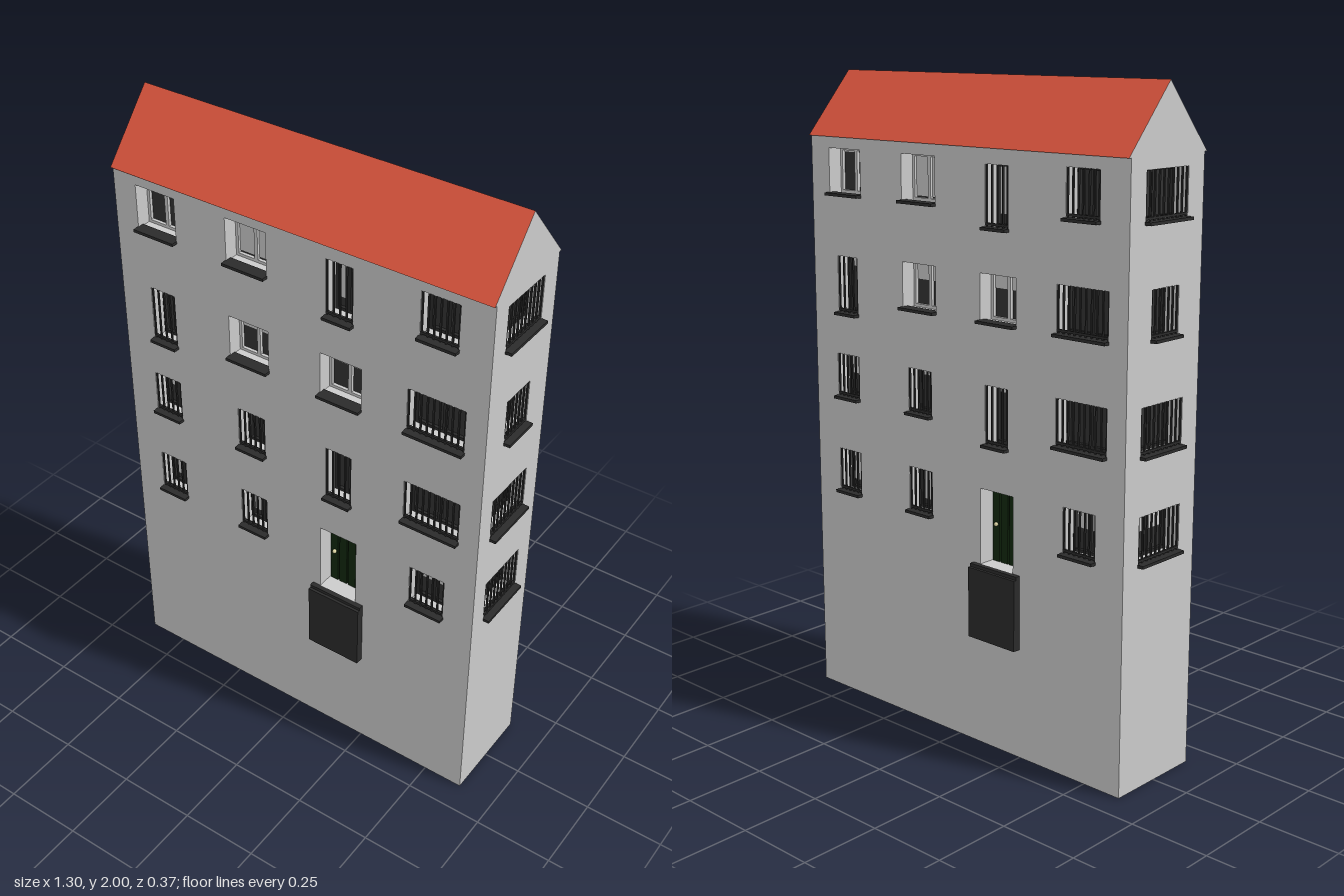
import * as THREE from 'three';

const W = 0.63, D = 0.16, EAVE = 1.805, RIDGE = 2, DEPTH = 0.06;
const mat = (color, extra = {}) => new THREE.MeshStandardMaterial({ color, ...extra });
const wallMat = mat(0xcccccc, { side: THREE.DoubleSide, flatShading: true });
const roofMat = mat(0xe0573f, { side: THREE.DoubleSide, flatShading: true });
const greyMat = mat(0xcccccc), ironMat = mat(0x2b2b2b), glassMat = mat(0x333333);
const doorMat = mat(0x12280f), knobMat = mat(0xd8d2a0);

// Openings as [x0, x1, y0, y1, kind, part covered by the blind]
const FRONT = [
  [-0.55, -0.41, 1.63, 1.77, 'frame', 0.1],
  [-0.23, -0.09, 1.63, 1.77, 'frame', 0.9],
  [0.11, 0.2, 1.58, 1.76, 'bars', 0.8],
  [0.41, 0.53, 1.63, 1.77, 'bars', 0],
  [-0.52, -0.43, 1.26, 1.44, 'bars', 0.2],
  [-0.23, -0.09, 1.31, 1.45, 'frame', 0.4],
  [0.09, 0.23, 1.31, 1.45, 'frame', 0.35],
  [0.38, 0.565, 1.31, 1.45, 'bars', 0],
  [-0.53, -0.43, 0.99, 1.13, 'bars', 0.5],
  [-0.21, -0.11, 0.99, 1.13, 'bars', 0.2],
  [0.11, 0.2, 0.945, 1.125, 'bars', 0.15],
  [0.38, 0.565, 0.99, 1.13, 'bars', 0],
  [-0.53, -0.43, 0.68, 0.82, 'bars', 0.8],
  [-0.21, -0.11, 0.68, 0.82, 'bars', 0.8],
  [0.09, 0.22, 0.575, 0.81, 'door', 0],
  [0.41, 0.53, 0.68, 0.82, 'bars', 0.5],
];
const SIDE = [
  [-0.095, 0.09, 1.63, 1.77, 'bars', 0],
  [-0.06, 0.06, 1.31, 1.45, 'bars', 0],
  [-0.095, 0.09, 0.99, 1.13, 'bars', 0],
  [-0.095, 0.09, 0.68, 0.82, 'bars', 0.5],
];

function add(parent, name, geometry, material, x = 0, y = 0, z = 0) {
  const m = new THREE.Mesh(geometry, material);
  m.name = name;
  m.position.set(x, y, z);
  parent.add(m);
  return m;
}
const box = (parent, name, w, h, d, material, x, y, z) =>
  add(parent, name, new THREE.BoxGeometry(w, h, d), material, x, y, z);

// Square tube without ends, lining an opening
const revealGeo = new THREE.CylinderGeometry(Math.SQRT1_2, Math.SQRT1_2, 1, 4, 1, true)
  .rotateY(Math.PI / 4).rotateX(Math.PI / 2);

function windowUnit([x0, x1, y0, y1, kind, blind]) {
  const g = new THREE.Group();
  g.name = kind === 'door' ? 'doorway' : 'window';
  const w = x1 - x0, h = y1 - y0;
  g.position.set((x0 + x1) / 2, (y0 + y1) / 2, 0);
  add(g, 'reveal', revealGeo, wallMat, 0, 0, -DEPTH / 2).scale.set(w, h, DEPTH);

  if (kind === 'door') {
    box(g, 'doorBacking', w, h, 0.006, doorMat, 0, 0, -DEPTH);
    for (let i = 0; i < 4; i++) {
      box(g, 'doorPlank', w / 4 - 0.006, h, 0.006, doorMat, (i - 1.5) * w / 4, 0, -DEPTH + 0.005);
    }
    add(g, 'doorKnob', new THREE.SphereGeometry(0.007, 12, 8), knobMat, -0.045, 0, -DEPTH + 0.014);
    // Stoop below the door
    box(g, 'stoop', 0.185, 0.22, 0.025, ironMat, 0, -h / 2 - 0.12, 0.0125);
    box(g, 'stoopLedge', 0.185, 0.012, 0.016, ironMat, 0, -h / 2 - 0.006, 0.008);
    return g;
  }

  box(g, 'glass', w, h, 0.004, glassMat, 0, 0, -DEPTH);
  if (blind) box(g, 'blind', w, h * blind, 0.004, greyMat, 0, h * (1 - blind) / 2, -DEPTH + 0.003);

  // Casement frame with a centre post
  const frameMat = kind === 'frame' ? greyMat : ironMat, t = 0.009, zf = -DEPTH + 0.008;
  for (const s of [-1, 1]) {
    box(g, 'frameSide', t, h, 0.01, frameMat, s * (w - t) / 2, 0, zf);
    box(g, 'frameRail', w, t, 0.01, frameMat, 0, s * (h - t) / 2, zf);
  }
  box(g, 'frameMullion', t * 1.3, h, 0.01, frameMat, 0, 0, zf);

  // Sill and upright bars
  box(g, 'sill', w + 0.004, 0.009, 0.04, ironMat, 0, -h / 2, 0);
  if (kind === 'bars') {
    const n = Math.round(w / 0.021);
    for (let i = 0; i <= n; i++) {
      box(g, 'bar', 0.005, h, 0.005, ironMat, -w / 2 + 0.003 + i * (w - 0.006) / n, 0, -0.004);
    }
    box(g, 'lowerRail', w, 0.007, 0.007, ironMat, 0, -h / 2 + 0.012, -0.004);
  }
  return g;
}

function wall(name, outline, openings) {
  const g = new THREE.Group();
  g.name = name;
  const shape = new THREE.Shape(outline.map(p => new THREE.Vector2(...p)));
  for (const [x0, x1, y0, y1] of openings) {
    shape.holes.push(new THREE.Path([[x0, y0], [x0, y1], [x1, y1], [x1, y0]].map(p => new THREE.Vector2(...p))));
  }
  add(g, name + 'Surface', new THREE.ShapeGeometry(shape), wallMat);
  openings.forEach(o => g.add(windowUnit(o)));
  return g;
}

export function createModel() {
  const house = new THREE.Group();
  house.name = 'townHouse';
  const over = 0.17;
  const top = EAVE + (over - D) * (RIDGE - EAVE) / over;
  const long = [[-W, 0], [W, 0], [W, top], [-W, top]];
  const gable = [[-D, 0], [D, 0], [D, EAVE], [over, EAVE], [0, RIDGE], [-over, EAVE], [-D, EAVE]];

  // Each half is the other turned half way round
  for (let i = 0; i < 2; i++) {
    const half = new THREE.Group();
    half.name = i ? 'backHalf' : 'frontHalf';
    half.rotation.y = i * Math.PI;

    const face = wall('longWall', long, FRONT);
    face.position.z = D;
    const end = wall('gableWall', gable, SIDE);
    end.rotation.y = Math.PI / 2;
    end.position.x = W;
    half.add(face, end);

    // Thin roof slope
    const rise = RIDGE - EAVE;
    const slope = add(half, 'roofSlope', new THREE.PlaneGeometry(2 * W, Math.hypot(rise, over)),
      roofMat, 0, (RIDGE + EAVE) / 2, over / 2);
    slope.rotation.x = -Math.atan2(over, rise);
    house.add(half);
  }
  return house;
}
